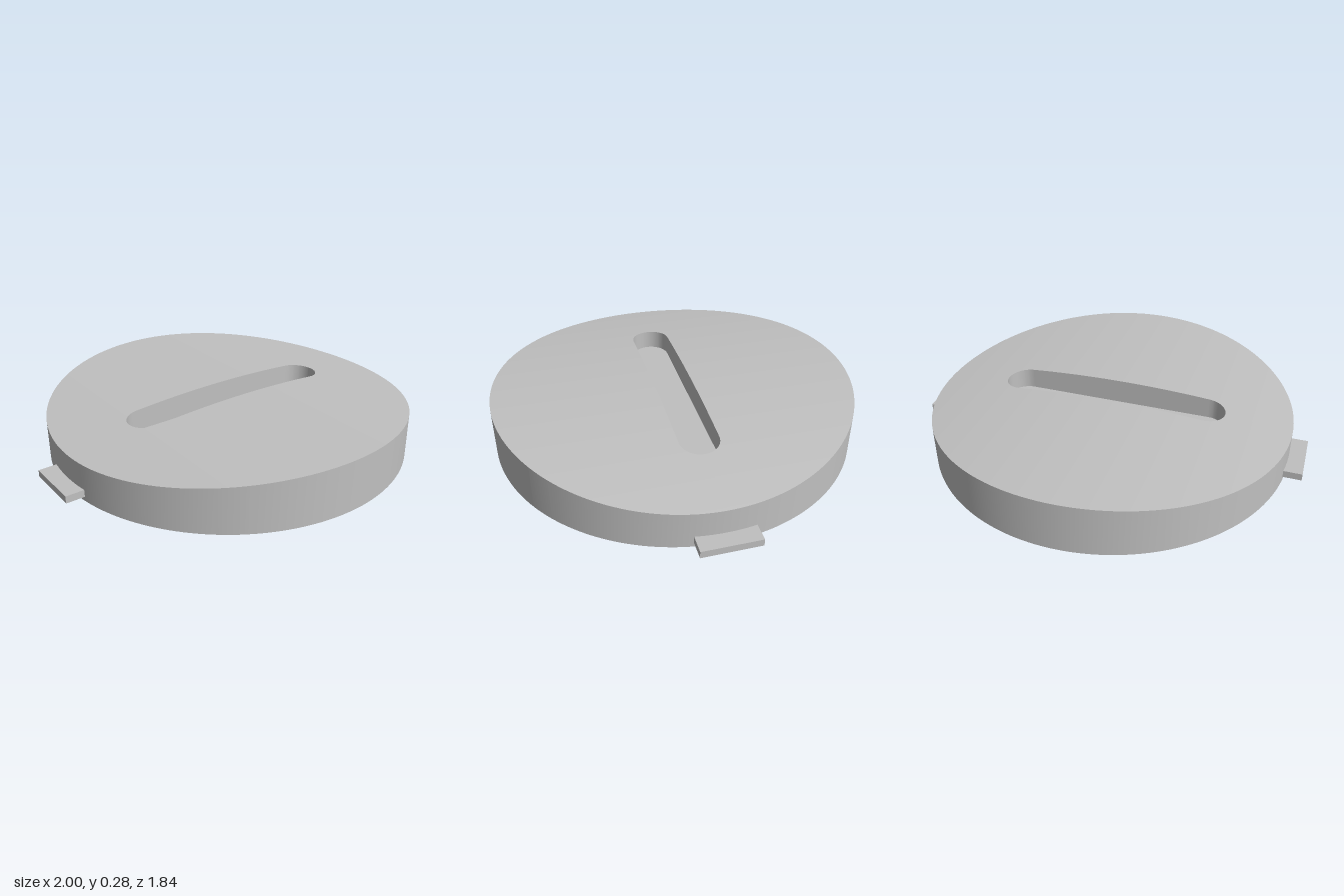
import * as THREE from 'three';
import { mergeVertices } from 'three/addons/utils/BufferGeometryUtils.js';

const R = 0.92, BASE = 0.022, CROWN = 0.277, RIM = 0.207; // main disc
const SLOT_END = 0.585, SLOT_HALF = 0.098, FLOOR = 0.15;  // rounded slot

// Height of the crowned top, a circular arc along x
const arcR = (R * R + (CROWN - RIM) ** 2) / (2 * (CROWN - RIM));
const topY = (x) => CROWN - arcR + Math.sqrt(arcR * arcR - x * x);

// Half-depth of the disc and of the slot at a given x
const discZ = (x) => Math.sqrt(Math.max(0, R * R - x * x));
const slotZ = (x) => {
  const d = Math.max(0, Math.abs(x) - (SLOT_END - SLOT_HALF));
  return Math.sqrt(Math.max(0, SLOT_HALF ** 2 - d * d));
};

// Smooth surface ruled between two rails of equal length
function ruled(a, b) {
  const pos = [], index = [];
  a.forEach((p, i) => {
    pos.push(...p, ...b[i]);
    if (i < a.length - 1) {
      const k = 2 * i;
      index.push(k, k + 1, k + 2, k + 1, k + 3, k + 2);
    }
  });
  let g = new THREE.BufferGeometry();
  g.setAttribute('position', new THREE.Float32BufferAttribute(pos, 3));
  g.setIndex(index);
  g = mergeVertices(g, 1e-5);
  g.computeVertexNormals();
  return g;
}

export function createModel() {
  const model = new THREE.Group();
  const grey = new THREE.MeshStandardMaterial({ color: 0xc0c0c0 });
  grey.name = 'grey';
  const add = (name, geometry, parent = model) => {
    const mesh = new THREE.Mesh(geometry, grey);
    mesh.name = name;
    parent.add(mesh);
    return mesh;
  };

  // Cross-section positions along x, dense at the disc rim and slot ends
  const stops = [];
  for (let i = 0; i <= 96; i++) stops.push(-R * Math.cos((Math.PI * i) / 96));
  for (let i = 0; i <= 16; i++) {
    const x = SLOT_END - SLOT_HALF + SLOT_HALF * Math.sin((Math.PI / 2) * (i / 16));
    stops.push(x, -x);
  }
  const xs = stops.sort((p, q) => p - q).filter((x, i, s) => i === 0 || x - s[i - 1] > 1e-5);
  const slotXs = xs.filter((x) => Math.abs(x) <= SLOT_END + 1e-6);

  const rail = (list, y, z) => list.map((x) => [x, y(x), z(x)]);
  // Closed loop: front edge left to right, then back edge right to left
  const loop = (list, y, z) => [
    ...rail(list, y, z),
    ...rail([...list].reverse(), y, (x) => -z(x)),
  ];
  const neg = (f) => (x) => -f(x);
  const baseY = () => BASE, floorY = () => FLOOR;

  // Crowned disc with the slot left open
  const disc = new THREE.Group();
  disc.name = 'disc';
  model.add(disc);
  add('topFront', ruled(rail(xs, topY, slotZ), rail(xs, topY, discZ)), disc);
  add('topBack', ruled(rail(xs, topY, neg(discZ)), rail(xs, topY, neg(slotZ))), disc);
  add('rimWall', ruled(loop(xs, topY, discZ), loop(xs, baseY, discZ)), disc);
  add('underside', ruled(rail(xs, baseY, discZ), rail(xs, baseY, neg(discZ))), disc);

  // Slot sunk into the top
  const slot = new THREE.Group();
  slot.name = 'slot';
  model.add(slot);
  add('slotWall', ruled(loop(slotXs, floorY, slotZ), loop(slotXs, topY, slotZ)), slot);
  add('slotFloor', ruled(rail(slotXs, floorY, neg(slotZ)), rail(slotXs, floorY, slotZ)), slot);

  // Low round foot under the disc
  add('foot', new THREE.CylinderGeometry(0.533, 0.533, BASE, 96)).position.y = BASE / 2;

  // Side tabs
  for (const side of [1, -1]) {
    add(side > 0 ? 'leftTab' : 'rightTab', new THREE.BoxGeometry(0.12, 0.036, 0.286))
      .position.set(side * 0.94, 0.062, 0);
  }
  return model;
}
